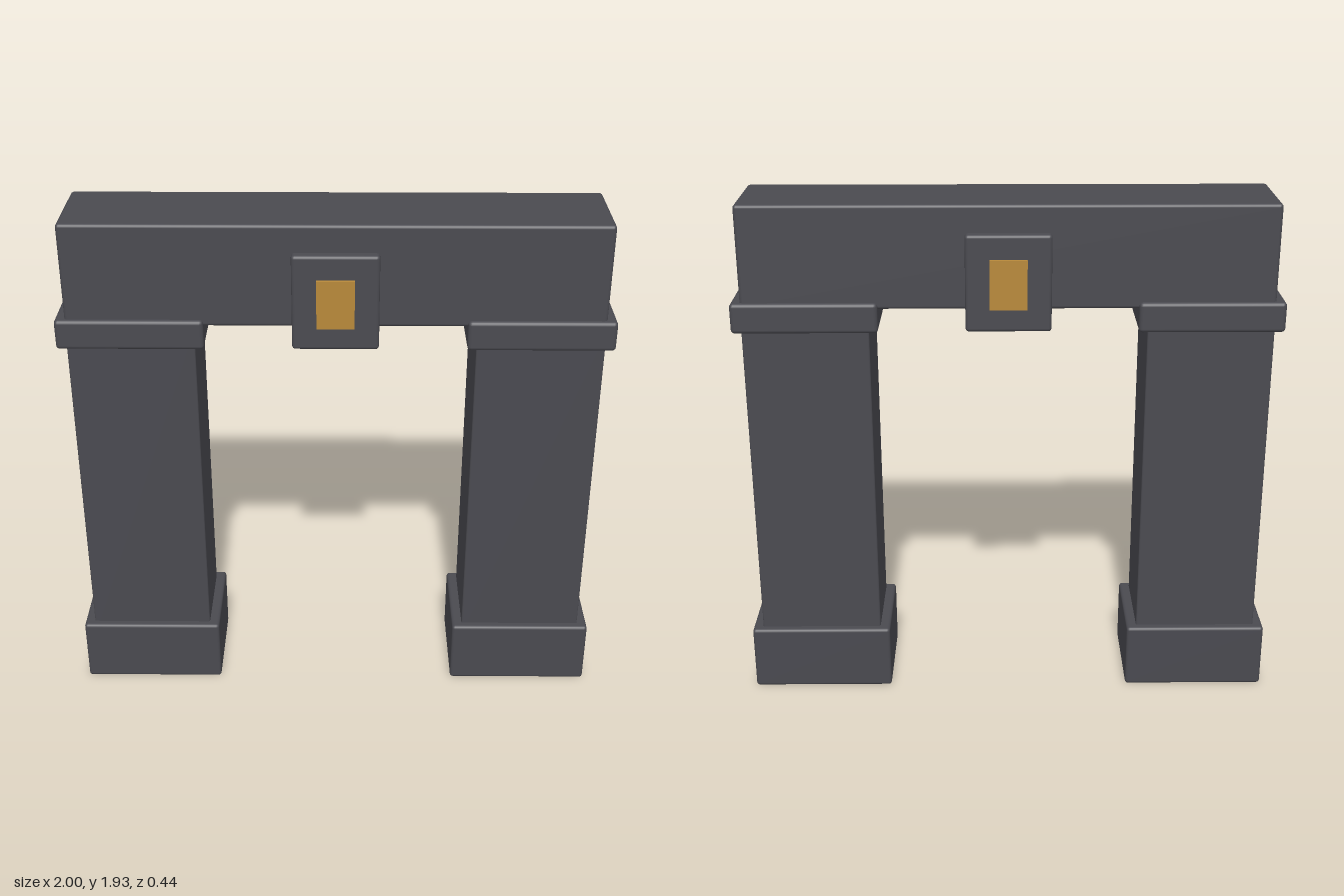
import * as THREE from 'three';
import { RoundedBoxGeometry } from 'three/addons/geometries/RoundedBoxGeometry.js';

export function createModel() {
  const gate = new THREE.Group();
  gate.name = 'gate';

  const stone = new THREE.MeshStandardMaterial({ color: 0x4a4a50 });
  stone.name = 'dark stone';
  const gold = new THREE.MeshStandardMaterial({ color: 0xb8893a });
  gold.name = 'gold';

  // Bevelled stone block spanning y0..y1, centred on x and z = 0
  function block(name, parent, x, y0, y1, width, depth, bevel) {
    const mesh = new THREE.Mesh(new RoundedBoxGeometry(width, y1 - y0, depth, 2, bevel), stone);
    mesh.position.set(x, (y0 + y1) / 2, 0);
    mesh.name = name;
    parent.add(mesh);
  }

  // Two pillars, each with a plinth and a capital
  for (const side of [-1, 1]) {
    const pillar = new THREE.Group();
    pillar.name = side > 0 ? 'leftPillar' : 'rightPillar';
    pillar.position.x = side * 0.732;
    block('plinth', pillar, 0, 0, 0.252, 0.536, 0.385, 0.012);
    block('shaft', pillar, 0, 0.2, 1.52, 0.46, 0.326, 0.006);
    block('capital', pillar, 0, 1.464, 1.575, 0.528, 0.38, 0.014);
    gate.add(pillar);
  }

  // Beam across the top and the keystone through its middle
  block('lintel', gate, 0, 1.55, 1.928, 1.92, 0.346, 0.012);
  block('keystone', gate, 0, 1.475, 1.828, 0.308, 0.412, 0.012);

  // Gold inlay plate on both faces of the keystone
  for (const side of [-1, 1]) {
    const plate = new THREE.Mesh(new THREE.BoxGeometry(0.134, 0.18, 0.016), gold);
    plate.position.set(0, 1.65, side * 0.21);
    plate.name = side > 0 ? 'frontInlay' : 'backInlay';
    gate.add(plate);
  }

  return gate;
}
